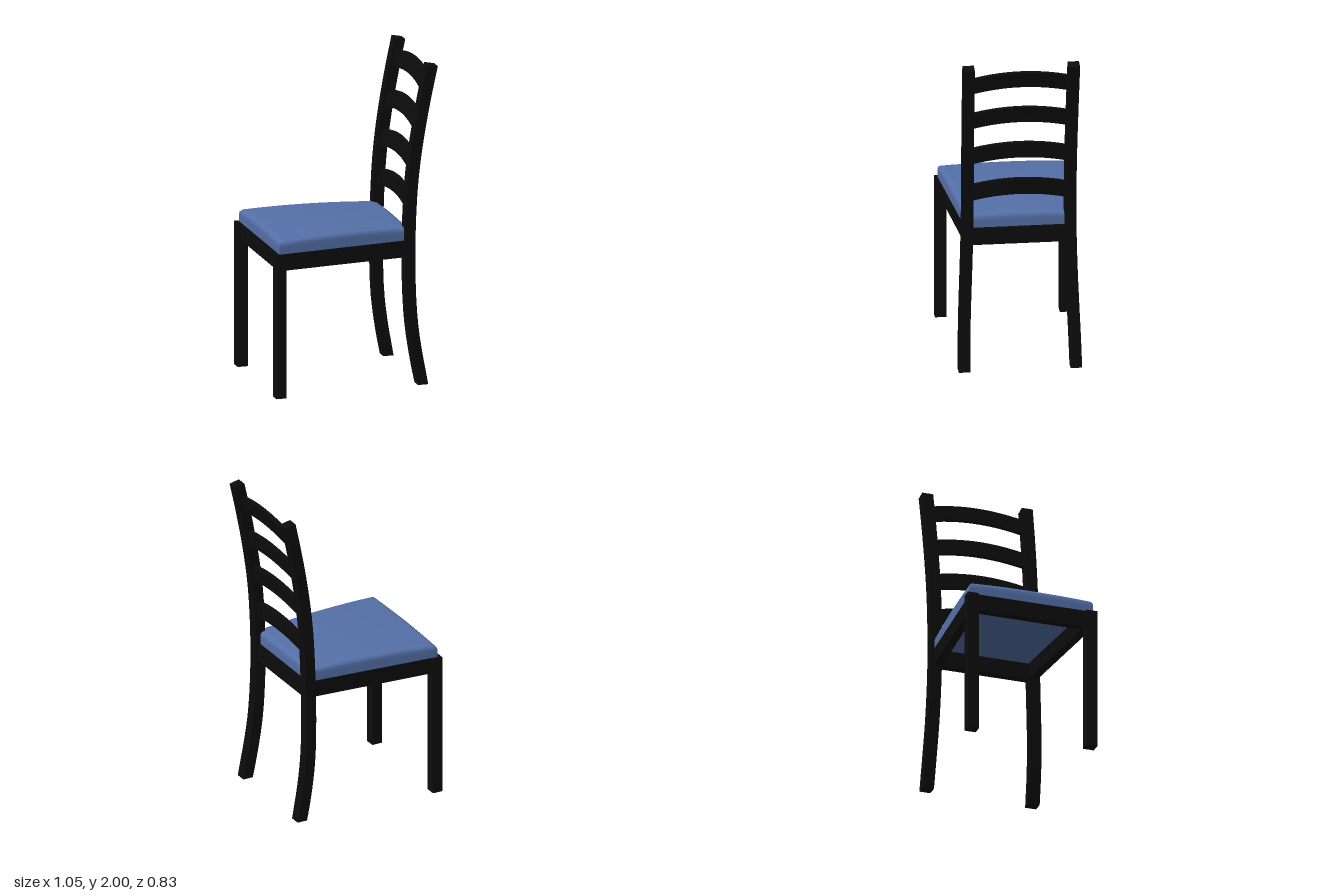
import * as THREE from 'three';
import { toCreasedNormals } from 'three/addons/utils/BufferGeometryUtils.js';

const wood = new THREE.MeshStandardMaterial({ color: 0x0c0c0c });
const fabric = new THREE.MeshStandardMaterial({ color: 0x5570a8 });

// Centre line of a back post: x backwards, y up, z outwards
const postLine = new THREE.CatmullRomCurve3([
  [0.42, 0, 0.34], [0.383, 0.2, 0.336], [0.357, 0.4, 0.329], [0.346, 0.65, 0.32],
  [0.347, 0.9, 0.314], [0.36, 1.2, 0.313], [0.38, 1.4, 0.314], [0.41, 1.6, 0.316],
  [0.447, 1.8, 0.318], [0.488, 1.992, 0.32],
].map(p => new THREE.Vector3(...p)));

// Move every vertex of a geometry by a rule, then restore clean normals
function bend(geometry, rule, crease = 0.6) {
  const pos = geometry.attributes.position;
  const v = new THREE.Vector3();
  for (let i = 0; i < pos.count; i++) {
    rule(v.fromBufferAttribute(pos, i));
    pos.setXYZ(i, v.x, v.y, v.z);
  }
  geometry.deleteAttribute('normal');
  geometry.deleteAttribute('uv');
  return toCreasedNormals(geometry, crease);
}

// Back post, its section kept square to the curve and its foot flat
function postGeometry(side) {
  return bend(new THREE.BoxGeometry(0.066, 1, 0.07, 1, 24, 1), v => {
    const t = v.y + 0.5;
    const p = postLine.getPoint(t), d = postLine.getTangent(t);
    const offset = v.x;
    v.x = p.x + offset * d.y;
    v.y = t === 0 ? 0 : p.y - offset * d.x;
    v.z = side * p.z + v.z;
  });
}

// Centre line x at a given height, found by bisection
function postX(y) {
  let lo = 0, hi = 1;
  for (let i = 0; i < 20; i++) {
    const mid = (lo + hi) / 2;
    if (postLine.getPoint(mid).y < y) lo = mid; else hi = mid;
  }
  return postLine.getPoint(lo).x;
}

// Arched slat, bowed slightly backwards and following the post's lean
function slatGeometry(y) {
  return bend(new THREE.BoxGeometry(0.032, 0.1, 0.58, 1, 2, 20), v => {
    const arch = 1 - (v.z / 0.29) ** 2;
    v.x += postX(y + v.y) + 0.012 * arch;
    v.y += y + 0.037 * arch;
  });
}

// Tapered cushion with a domed top and rounded upper edges
function cushionGeometry() {
  const r = 0.025, seg = 24;
  return bend(new THREE.BoxGeometry(2, 1, 2, seg, 3, seg), v => {
    const u = Math.sin(v.x * Math.PI / 2), w = Math.sin(v.z * Math.PI / 2);
    const x = -0.075 + 0.425 * u;
    const halfWidth = 0.36 - 0.036 * u;
    const edge = Math.min((1 - Math.abs(u)) * 0.425, (1 - Math.abs(w)) * halfWidth, r);
    let top = 0.977 + 0.014 * (1 - u * u) + 0.01 * (1 - w * w);
    top -= r - Math.sqrt(Math.max(0, r * r - (r - edge) ** 2));
    v.set(x, 0.9 + (v.y + 0.5) * (top - 0.9), halfWidth * w);
  }, 1.0);
}

export function createModel() {
  const chair = new THREE.Group();
  chair.name = 'chair';
  const add = (name, geometry, material = wood) => {
    const mesh = new THREE.Mesh(geometry, material);
    mesh.name = name;
    chair.add(mesh);
    return mesh;
  };
  // Rail of the seat frame between two points in plan
  const rail = (name, x1, z1, x2, z2) => {
    const mesh = add(name, new THREE.BoxGeometry(Math.hypot(x2 - x1, z2 - z1), 0.105, 0.05));
    mesh.position.set((x1 + x2) / 2, 0.848, (z1 + z2) / 2);
    mesh.rotation.y = -Math.atan2(z2 - z1, x2 - x1);
  };

  // Legs, posts and side rails in mirrored pairs
  for (const side of [1, -1]) {
    const label = side > 0 ? 'Left' : 'Right';
    add('frontLeg' + label, new THREE.BoxGeometry(0.065, 0.9, 0.07))
      .position.set(-0.4925, 0.45, side * 0.38);
    add('backPost' + label, postGeometry(side));
    rail('sideRail' + label, -0.48, side * 0.367, 0.345, side * 0.302);
  }
  rail('frontRail', -0.48, -0.37, -0.48, 0.37);
  rail('backRail', 0.346, -0.3, 0.346, 0.3);

  // Ladder back
  [1.133, 1.378, 1.622, 1.867].forEach((y, i) => add('backSlat' + (i + 1), slatGeometry(y)));

  add('seatCushion', cushionGeometry(), fabric);
  return chair;
}
